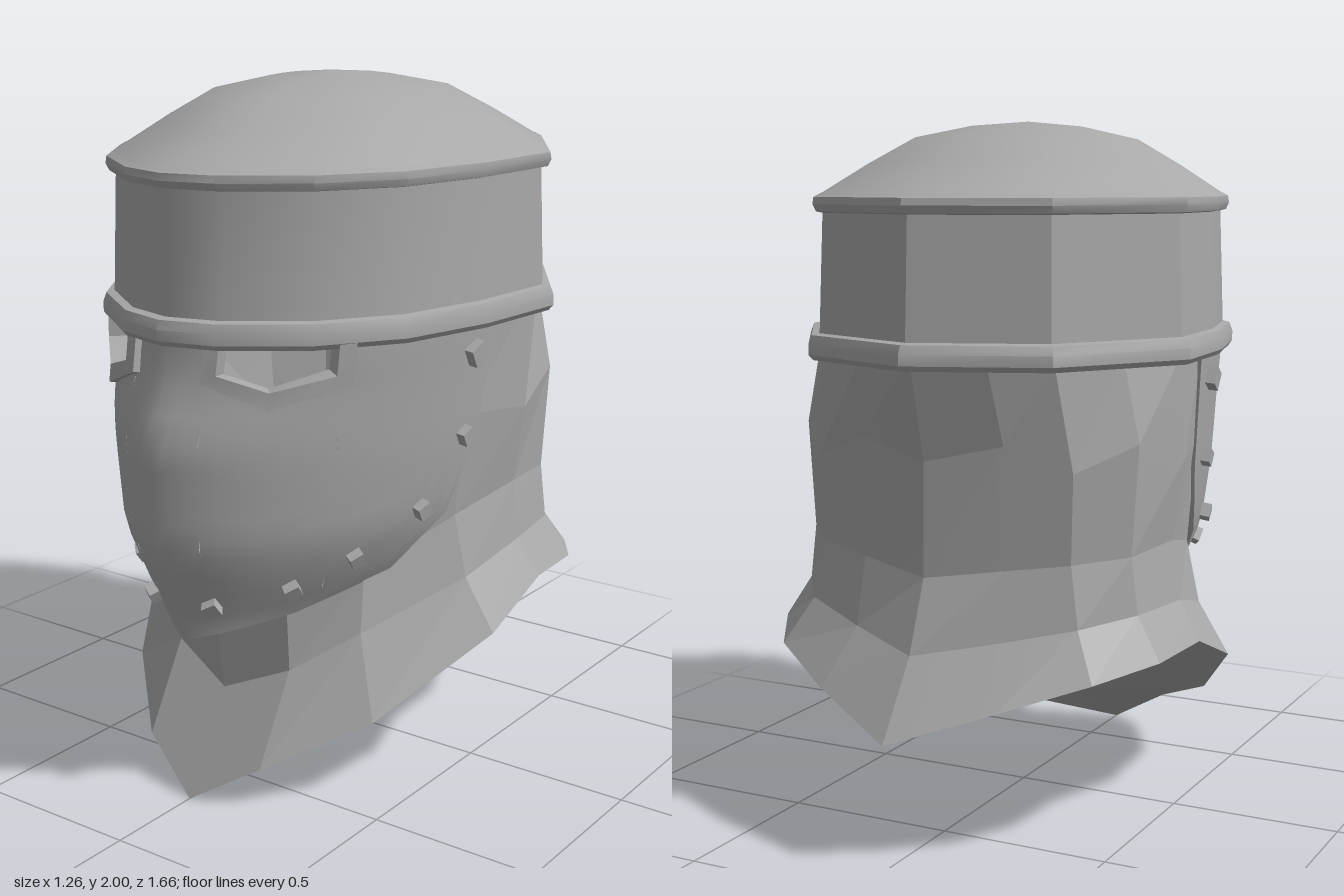
import * as THREE from 'three';
import { toCreasedNormals } from 'three/addons/utils/BufferGeometryUtils.js';

const steel = new THREE.MeshStandardMaterial({ color: 0xa8a8a8, side: THREE.DoubleSide });
steel.name = 'steel';

// Piecewise linear lookup in [key, value] pairs
function lookup(table, k) {
  if (k <= table[0][0]) return table[0][1];
  for (let i = 1; i < table.length; i++) {
    const [k0, v0] = table[i - 1], [k1, v1] = table[i];
    if (k <= k1) return v0 + (v1 - v0) * (k - k0) / (k1 - k0);
  }
  return table[table.length - 1][1];
}

// Skin over rows of points; skip(i, j) leaves a cell open
function skin(rows, closed = false, skip = () => false) {
  const n = rows[0].length, index = [];
  for (let i = 0; i < rows.length - 1; i++) {
    for (let j = 0; j < (closed ? n : n - 1); j++) {
      if (skip(i, j)) continue;
      const k = (j + 1) % n, a = i * n + j, b = i * n + k, c = b + n, d = a + n;
      index.push(a, b, c, a, c, d);
    }
  }
  const g = new THREE.BufferGeometry();
  g.setAttribute('position', new THREE.Float32BufferAttribute(rows.flat(2), 3));
  g.setIndex(index);
  g.computeVertexNormals();
  return g;
}

// Full loop from a half loop that runs front to back on the +x side
const mirrorLoop = (half) => [...half, ...half.slice(1, -1).reverse().map(([x, y, z]) => [-x, y, z])];

function add(parent, geometry, name) {
  const m = new THREE.Mesh(geometry, steel);
  m.name = name;
  parent.add(m);
  return m;
}

// Face plate surface: an ellipse whose depth and width change with height
const DEPTH = [[0.485, 0.71], [0.785, 0.825], [1.08, 0.835], [1.235, 0.765], [1.37, 0.735]];
const WIDTH = [[0.485, 0.32], [0.555, 0.354], [0.65, 0.43], [0.8, 0.5], [1.0, 0.53], [1.37, 0.56]];
const RIDGE = [[1.08, 0.1], [1.3, 0]];
const EDGE = [[0, 0.485], [0.707, 0.555], [1.14, 0.65], [1.36, 0.8], [1.5, 1.01], [1.545, 1.37]];
function facePoint(t, y) {
  const s = Math.sin(t), c = Math.cos(t);
  return new THREE.Vector3(lookup(WIDTH, y) * s, y,
    lookup(DEPTH, y) * c - lookup(RIDGE, y) * Math.abs(s) * c);
}
function faceNormal(t, y) {
  const e = 0.06;
  const du = facePoint(t + e, y).sub(facePoint(t - e, y));
  const dv = facePoint(t, y + e).sub(facePoint(t, y - e));
  return du.cross(dv).normalize();
}
const faceOffset = (t, y, off) => facePoint(t, y).addScaledVector(faceNormal(t, y), off).toArray();
const edgeY = (t) => lookup(EDGE, Math.abs(t));

function facePatch(thetas, top) {
  const rows = [], normals = [], n = 12;
  for (let i = 0; i <= n; i++) {
    rows.push(thetas.map((t) => {
      const y = THREE.MathUtils.lerp(edgeY(t), top(Math.abs(t)), i / n);
      normals.push(...faceNormal(t, y).toArray());
      return facePoint(t, y).toArray();
    }));
  }
  const g = skin(rows);
  g.setAttribute('normal', new THREE.Float32BufferAttribute(normals, 3));
  return g;
}
const flip = (list) => list.map((t) => -t).reverse();

function makeFacePlate() {
  const group = new THREE.Group();
  group.name = 'facePlate';
  const full = () => 1.37;
  const eyeTop = (t) => lookup([[0.235, 1.26], [0.5, 1.2], [0.805, 1.26]], t);
  const mid = [-0.235, -0.16, -0.08, 0, 0.08, 0.16, 0.235];
  const eye = [0.235, 0.32, 0.41, 0.5, 0.6, 0.707, 0.805];
  const side = [0.805, 0.9, 1.02, 1.14, 1.25, 1.36, 1.43, 1.5, 1.545];
  add(group, facePatch(mid, full), 'noseGuard');
  for (const s of [1, -1]) {
    const turn = s > 0 ? (l) => l : flip;
    add(group, facePatch(turn(eye), eyeTop), 'cheek');
    add(group, facePatch(turn(side), full), 'templePlate');

    // Raised frame around the eye opening
    const outer = [[0.2, 1.37], [0.2, 1.24], [0.5, 1.175], [0.84, 1.24], [0.84, 1.37]];
    const inner = [[0.27, 1.37], [0.27, 1.265], [0.5, 1.225], [0.77, 1.265], [0.77, 1.37]];
    const strip = (path, off) => {
      const row = path.map(([t, y]) => faceOffset(t * s, y, off));
      return s > 0 ? row : row.reverse();
    };
    add(group, toCreasedNormals(skin([strip(outer, -0.01), strip(outer, 0.022),
      strip(inner, 0.022), strip(inner, -0.05)]), 0.4), 'eyeFrame');

    // Square rivets along the edge
    const rivets = [[1.42, 1.265], [1.4, 1.03], [1.21, 0.84], [0.93, 0.73], [0.65, 0.655], [0.25, 0.61]];
    rivets.forEach(([t, y], i) => {
      const size = i === 0 ? 0.055 : 0.042;
      const r = add(group, new THREE.BoxGeometry(size, size, 0.04), 'rivet');
      const n = faceNormal(t * s, y);
      r.position.fromArray(faceOffset(t * s, y, 0.008));
      r.lookAt(r.position.clone().add(n));
      r.rotateZ(s * 0.5);
    });
  }

  // Thickness of the plate along its lower edge
  const half = [0, 0.235, 0.5, 0.707, 0.9, 1.14, 1.25, 1.36, 1.43, 1.5, 1.545];
  const all = [...flip(half.slice(1)), ...half];
  add(group, skin([-0.035, 0].map((off) => all.map((t) => faceOffset(t, edgeY(t), off)))), 'plateEdge');
  return group;
}

function makeCrown() {
  const group = new THREE.Group();
  group.name = 'crown';
  const plan = [[0, 0.76], [0.15, 0.72], [0.35, 0.575], [0.49, 0.37], [0.56, 0.1], [0.585, -0.2], [0.36, -0.55], [0, -0.69]];
  const ring = ([s, y]) => mirrorLoop(plan.map(([x, z]) => [x * s, y, 0.03 + (z - 0.03) * s]));
  // [scale, height] profiles
  const bands = {
    lowerRim: [[0.94, 1.36], [1.03, 1.335], [1.05, 1.35], [1.05, 1.38], [1.035, 1.405], [0.99, 1.41]],
    browBand: [[1, 1.39], [0.975, 1.76]],
    upperRim: [[0.965, 1.74], [1.005, 1.745], [1.02, 1.765], [1.015, 1.785], [0.985, 1.795]],
  };
  for (const [name, profile] of Object.entries(bands)) {
    add(group, toCreasedNormals(skin(profile.map(ring), true), 0.62), name);
  }
  const dome = [[0.995, 1.79], [0.77, 1.875], [0.55, 1.95], [0.28, 1.985], [0.001, 2]];
  add(group, skin(dome.map(ring), true), 'domeTop');
  return group;
}

function makeNeck() {
  const group = new THREE.Group();
  group.name = 'neckGuard';
  const rim = [[0, 0, 0.71], [0.2, 0.12, 0.64], [0.43, 0.24, 0.42], [0.625, 0.45, 0.1], [0.63, 0.55, -0.15],
    [0.605, 0.54, -0.38], [0.49, 0.51, -0.57], [0.27, 0.44, -0.71], [0, 0.35, -0.83]];
  const flare = [[0, 0.285, 0.545], [0.2, 0.37, 0.5], [0.36, 0.48, 0.38], [0.53, 0.6, 0.1], [0.565, 0.66, -0.14],
    [0.53, 0.66, -0.36], [0.42, 0.64, -0.51], [0.22, 0.6, -0.6], [0, 0.56, -0.685]];
  const throat = [[0, 0.5, 0.575], [0.2, 0.55, 0.51], [0.35, 0.65, 0.35], [0.49, 0.78, 0.1], [0.54, 0.83, -0.14],
    [0.51, 0.82, -0.36], [0.39, 0.81, -0.49], [0.22, 0.79, -0.55], [0, 0.76, -0.605]];
  const nape = [[0, 1.1, 0.66], [0.2, 1.1, 0.6], [0.36, 1.1, 0.44], [0.515, 1.08, 0.1], [0.572, 1.06, -0.14],
    [0.53, 1.13, -0.36], [0.4, 1.06, -0.5], [0.22, 1.13, -0.555], [0, 1.08, -0.6]];
  const top = [[0, 0.7], [0.2, 0.63], [0.4, 0.45], [0.53, 0.1], [0.57, -0.15],
    [0.48, -0.36], [0.35, -0.52], [0.19, -0.6], [0, -0.67]].map(([x, z]) => [x, 1.37, z]);
  const rows = [rim, flare, throat, nape, top].map(mirrorLoop);
  // The face is open behind the plate
  const open = (i, j) => i > 1 && (j < 2 || j > 13);
  add(group, toCreasedNormals(skin(rows, true, open), 0.08), 'neckSkirt');
  // Closed underside, drawn down to a shallow point
  const point = rows[0].map(() => [0, 0.3, -0.1]);
  add(group, skin([point, rows[0]], true), 'underside');
  return group;
}

export function createModel() {
  const model = new THREE.Group();
  model.name = 'helmet';
  model.add(makeNeck(), makeFacePlate(), makeCrown());
  return model;
}
